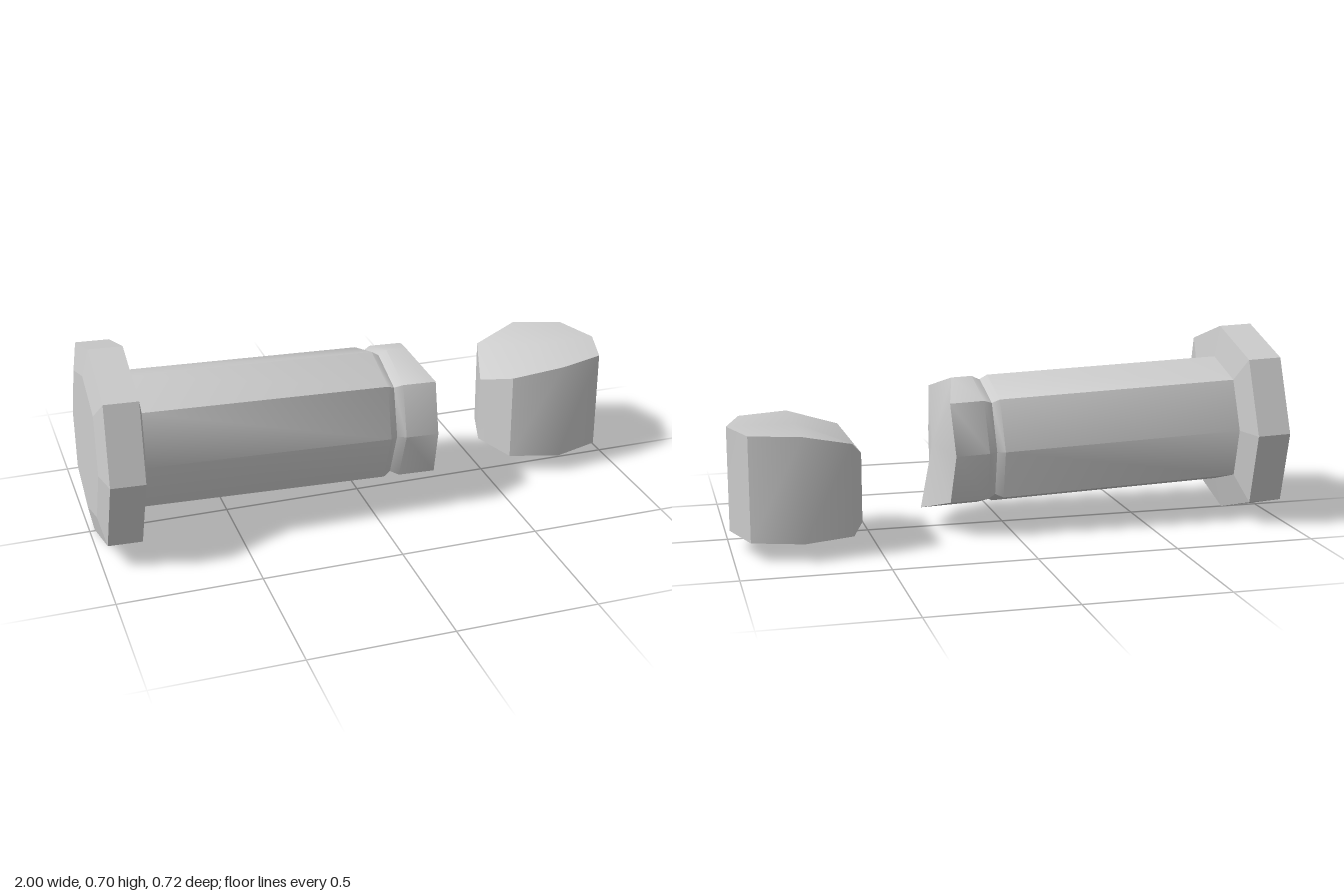
import * as THREE from 'three';
import { toCreasedNormals } from 'three/addons/utils/BufferGeometryUtils.js';

const SIDES = 8;

// Point i of the octagon; diagonal corners bulge a little past a regular octagon
function corner(i) {
  const a = (i / SIDES) * Math.PI * 2;
  const r = i % 2 ? 1.07 : 1;
  return [Math.cos(a) * r, Math.sin(a) * r];
}

// Ring across the column axis; u is the distance along it (one value or one per corner)
function columnRing(u, radius) {
  return Array.from({ length: SIDES }, (_, i) => {
    const [y, z] = corner(i);
    return [Array.isArray(u) ? u[i] : u, y * radius * 0.965, z * radius];
  });
}

// Horizontal ring of the drum with a height per corner
function drumRing(heights, radius) {
  return Array.from({ length: SIDES }, (_, i) => {
    const [z, x] = corner(i);
    return [x * radius, heights[i], z * radius];
  });
}

// Skin a row of rings and close both ends with fans around given centres
function skin(rings, startCentre, endCentre) {
  const p = [];
  const tri = (a, b, c) => p.push(...a, ...b, ...c);
  const last = rings[rings.length - 1];
  for (let i = 0; i < SIDES; i++) {
    const j = (i + 1) % SIDES;
    for (let k = 0; k < rings.length - 1; k++) {
      const a = rings[k], b = rings[k + 1];
      tri(a[i], a[j], b[j]);
      tri(a[i], b[j], b[i]);
    }
    tri(startCentre, rings[0][j], rings[0][i]);
    tri(endCentre, last[i], last[j]);
  }
  const g = new THREE.BufferGeometry();
  g.setAttribute('position', new THREE.Float32BufferAttribute(p, 3));
  g.computeVertexNormals();
  return g;
}

function addMesh(parent, name, geometry, flatShading = false) {
  const material = new THREE.MeshStandardMaterial({ color: 0xcccccc, flatShading });
  const mesh = new THREE.Mesh(geometry, material);
  mesh.name = name;
  parent.add(mesh);
  return mesh;
}

export function createModel() {
  const model = new THREE.Group();
  model.name = 'brokenColumn';

  // Fallen column, resting on the rim of its base and tilted slightly down
  const column = new THREE.Group();
  column.name = 'fallenColumn';
  column.position.set(-0.82, 0.344, 0);
  column.rotation.z = -0.036;
  model.add(column);

  // Wide base with bevelled faces
  addMesh(column, 'columnBase', skin([
    columnRing(-0.171, 0.26),
    columnRing(-0.15, 0.36),
    columnRing(-0.03, 0.36),
    columnRing(-0.006, 0.243),
  ], [-0.171, 0, 0], [-0.006, 0, 0]), true);

  // Shaft with a shallow groove and a jagged broken end
  const breakLine = [1.0, 1.047, 1.045, 1.06, 1.133, 1.06, 1.045, 1.047];
  addMesh(column, 'columnShaft', toCreasedNormals(skin([
    columnRing(-0.01, 0.243),
    columnRing(0.868, 0.243),
    columnRing(0.895, 0.226),
    columnRing(0.925, 0.243),
    columnRing(breakLine, 0.243),
  ], [-0.01, 0, 0], [1.08, 0, 0]), 0.7));

  // Loose drum standing beside it, chipped on one side of the top
  const topHeights = [0.367, 0.367, 0.367, 0.367, 0.367, 0.322, 0.25, 0.322];
  const drum = addMesh(model, 'looseDrum', toCreasedNormals(skin([
    drumRing(Array(SIDES).fill(0), 0.231),
    drumRing(topHeights, 0.231),
  ], [0, 0, 0], [0, 0.367, 0]), 0.7));
  drum.position.set(0.769, 0.063, -0.124);

  return model;
}
